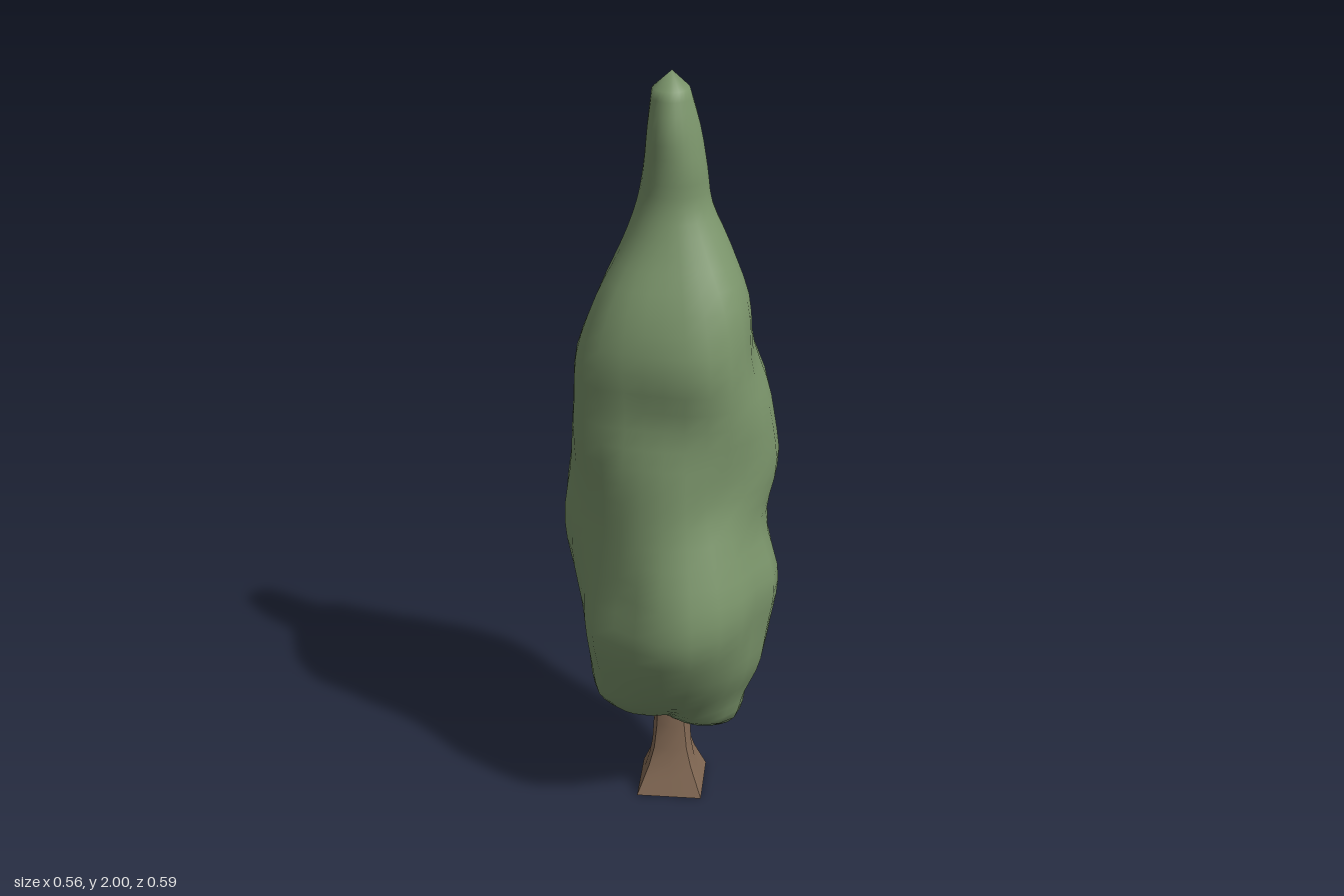
import * as THREE from 'three';
import { toCreasedNormals } from 'three/addons/utils/BufferGeometryUtils.js';

const foliageGreen = new THREE.MeshStandardMaterial({ color: 0x7b956b });
foliageGreen.name = 'foliageGreen';
const barkBrown = new THREE.MeshStandardMaterial({ color: 0x846a55 });
barkBrown.name = 'barkBrown';

// Crown cross-sections: height, then radii in eight directions from +x round through +z
const SECTIONS = [
  [0.21, 0.14, 0.06, 0.03, 0.03, 0.04, 0.03, 0.02, 0.04],
  [0.25, 0.185, 0.14, 0.07, 0.13, 0.165, 0.13, 0.10, 0.12],
  [0.34, 0.205, 0.19, 0.16, 0.205, 0.20, 0.19, 0.20, 0.18],
  [0.45, 0.25, 0.245, 0.245, 0.245, 0.21, 0.22, 0.22, 0.22],
  [0.57, 0.27, 0.275, 0.295, 0.26, 0.23, 0.265, 0.215, 0.235],
  [0.70, 0.275, 0.285, 0.285, 0.245, 0.265, 0.29, 0.235, 0.24],
  [0.85, 0.245, 0.24, 0.24, 0.22, 0.275, 0.305, 0.295, 0.265],
  [1.00, 0.265, 0.22, 0.215, 0.22, 0.26, 0.285, 0.27, 0.295],
  [1.15, 0.245, 0.225, 0.18, 0.23, 0.25, 0.25, 0.225, 0.28],
  [1.30, 0.205, 0.23, 0.20, 0.235, 0.235, 0.22, 0.215, 0.23],
  [1.45, 0.19, 0.20, 0.165, 0.195, 0.18, 0.165, 0.18, 0.185],
  [1.58, 0.145, 0.13, 0.11, 0.115, 0.12, 0.12, 0.155, 0.13],
  [1.68, 0.10, 0.085, 0.075, 0.075, 0.085, 0.085, 0.11, 0.095],
  [1.77, 0.087, 0.08, 0.07, 0.067, 0.068, 0.07, 0.08, 0.08],
  [1.87, 0.07, 0.065, 0.068, 0.06, 0.058, 0.06, 0.072, 0.068],
  [1.96, 0.043, 0.042, 0.042, 0.042, 0.047, 0.05, 0.06, 0.05],
];

// Hollows (and bulges, where negative): angle, height, angular spread, vertical spread, depth
const HOLLOWS = [
  [5.8, 0.5, 0.22, 0.16, 0.03],
  [4.4, 0.6, 0.4, 0.07, 0.02],
  [0.98, 0.92, 0.25, 0.07, 0.02],
  [0.55, 0.65, 0.18, 0.25, 0.02],
  [1.97, 0.6, 0.2, 0.2, 0.03],
  [1.23, 0.6, 0.15, 0.15, -0.012],
  [3.75, 0.8, 0.25, 0.2, -0.01],
  [5.0, 0.9, 0.18, 0.12, 0.012],
  [5.05, 1.2, 0.2, 0.12, -0.015],
  [2.05, 1.25, 0.22, 0.15, 0.022],
  [1.2, 1.28, 0.2, 0.12, -0.012],
];

function cubic(a, b, c, d, t) {
  return b + 0.5 * t * (c - a + t * (2 * a - 5 * b + 4 * c - d + t * (3 * (b - c) + d - a)));
}

// Value of one section column at a fractional row
function column(k, row) {
  const last = SECTIONS.length - 1;
  const i = Math.min(Math.floor(row), last - 1);
  const at = (n) => SECTIONS[Math.max(0, Math.min(last, n))][k];
  return cubic(at(i - 1), at(i), at(i + 1), at(i + 2), row - i);
}

// Crown radius at a fractional row and a turn of 0..1
function radius(row, turn) {
  const i = Math.floor(turn * 8);
  const at = (n) => column(1 + ((n + 8) % 8), row);
  return cubic(at(i - 1), at(i), at(i + 1), at(i + 2), turn * 8 - i);
}

// Closed loft of stacked rings between a bottom and a top pole
function loft(rings, bottom, top) {
  const sides = rings[0].length;
  const pos = [...rings.flat(2), ...bottom, ...top];
  const low = rings.length * sides;
  const index = [];
  for (let j = 0; j < sides; j++) {
    const n = (j + 1) % sides;
    for (let r = 0; r < rings.length - 1; r++) {
      const a = r * sides + j, b = r * sides + n;
      index.push(a, a + sides, b, b, a + sides, b + sides);
    }
    index.push(low, j, n);
    index.push(low + 1, low - sides + n, low - sides + j);
  }
  const geo = new THREE.BufferGeometry();
  geo.setAttribute('position', new THREE.Float32BufferAttribute(pos, 3));
  geo.setIndex(index);
  geo.computeVertexNormals();
  return geo;
}

function crown() {
  const sides = 24, steps = 45, rings = [];
  for (let s = 0; s <= steps; s++) {
    const row = (s / steps) * (SECTIONS.length - 1);
    const y = column(0, row);
    const ring = [];
    for (let j = 0; j < sides; j++) {
      const a = (j / sides) * Math.PI * 2;
      // Soft leafy lumps, fading out toward the smooth tip
      const lump = Math.sin(3 * a + 9 * y) * Math.sin(15 * y - 2 * a) + 0.6 * Math.sin(5 * a - 17 * y);
      const fade = THREE.MathUtils.clamp((1.75 - y) * 2, 0, 1);
      let r = radius(row, j / sides) * (1 + 0.015 * lump * fade);
      for (const [ha, hy, wa, wy, depth] of HOLLOWS) {
        r -= depth * Math.exp(-(((a - ha) / wa) ** 2) - ((y - hy) / wy) ** 2);
      }
      const x = Math.cos(a) * r;
      // The underside rises toward the right
      const lift = (0.14 - x) * 0.15 * THREE.MathUtils.clamp((0.34 - y) * 8, 0, 1);
      ring.push([x, y + Math.max(0, lift), Math.sin(a) * r]);
    }
    rings.push(ring);
  }
  return loft(rings, [0.11, 0.2, 0], [0, 2, -0.013]);
}

// Trunk: square flared foot that rounds off as it rises
function trunk() {
  const profile = [[0, 0.087, 1], [0.04, 0.074, 0.9], [0.08, 0.062, 0.7], [0.13, 0.053, 0.4], [0.2, 0.049, 0.15], [0.36, 0.047, 0.1]];
  const rings = profile.map(([y, r, square]) => {
    const ring = [];
    for (let j = 0; j < 8; j++) {
      const a = (j / 8) * Math.PI * 2;
      const d = j % 2 ? r * (1 + (Math.SQRT2 - 1) * square) : r;
      ring.push([Math.cos(a) * d, y, Math.sin(a) * d - 0.014]);
    }
    return ring;
  });
  return toCreasedNormals(loft(rings, [0, 0, -0.014], [0, 0.36, -0.014]), 0.9);
}

export function createModel() {
  const group = new THREE.Group();
  group.name = 'cypressTree';
  const add = (name, geo, mat) => {
    const mesh = new THREE.Mesh(geo, mat);
    mesh.name = name;
    group.add(mesh);
  };
  add('foliage', crown(), foliageGreen);
  add('trunk', trunk(), barkBrown);
  return group;
}
